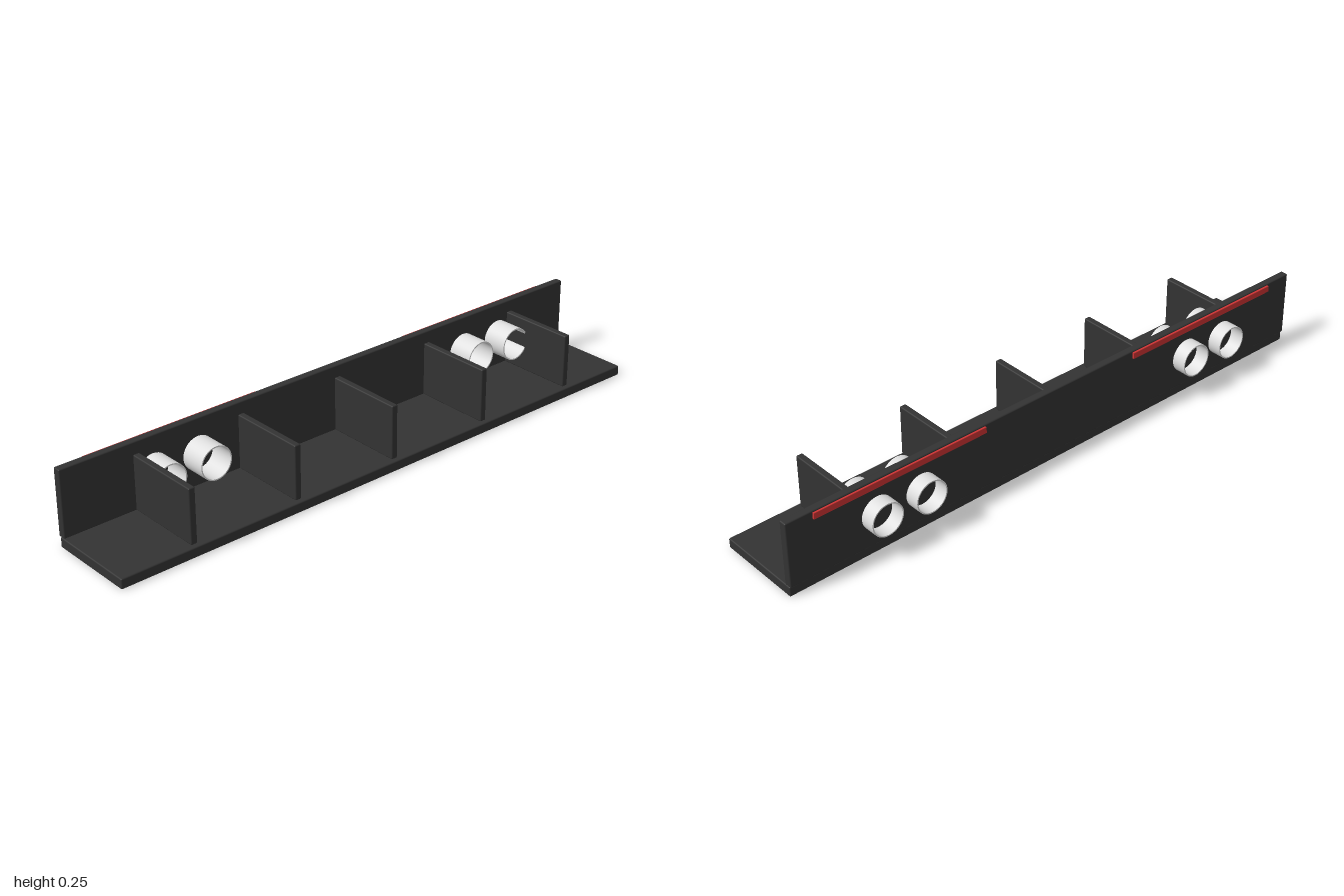
import * as THREE from 'three';
import { RoundedBoxGeometry } from 'three/addons/geometries/RoundedBoxGeometry.js';

export function createModel() {
  const model = new THREE.Group();
  model.name = 'dividedShelf';

  const material = (name, color) => {
    const m = new THREE.MeshStandardMaterial({ color });
    m.name = name;
    return m;
  };
  const charcoal = material('charcoal', 0x333333);
  const silver = material('silver', 0xe0e0e0);
  const red = material('red', 0xcc3333);

  const add = (name, geometry, mat, x, y, z) => {
    const mesh = new THREE.Mesh(geometry, mat);
    mesh.name = name;
    mesh.position.set(x, y, z);
    model.add(mesh);
    return mesh;
  };

  // Softly rounded panel given by its limits in x and y, its z centre and its length
  const panel = (name, x0, x1, y0, y1, z, length) =>
    add(name, new RoundedBoxGeometry(x1 - x0, y1 - y0, length, 2, 0.004), charcoal,
      (x0 + x1) / 2, (y0 + y1) / 2, z);

  panel('basePanel', -0.121, 0.173, 0.001, 0.034, 0, 2);
  panel('backPanel', -0.127, -0.101, 0.035, 0.254, 0, 2);

  // Five evenly spaced dividers
  for (let i = -2; i <= 2; i++) {
    panel('divider', -0.104, 0.159, 0.035, 0.214, -0.003 + i * 0.374, 0.022);
  }

  // Thin-walled open tubes passing through the back panel
  const R = 0.055, r = 0.051, half = 0.08;
  const tube = new THREE.LatheGeometry(
    [[r, -half], [R, -half], [R, half], [r, half], [r, -half]].map(([x, y]) => new THREE.Vector2(x, y)), 48);
  // Separate the rim normals from the walls by using a flat outline per segment
  const sections = [[[R, -half], [R, half]], [[R, half], [r, half]], [[r, half], [r, -half]], [[r, -half], [R, -half]]];
  tube.dispose();
  for (const z of [-0.695, -0.538, 0.53, 0.69]) {
    const group = new THREE.Group();
    group.name = 'openTube';
    for (const pts of sections) {
      const part = new THREE.Mesh(
        new THREE.LatheGeometry(pts.map(([x, y]) => new THREE.Vector2(x, y)), 48), silver);
      part.name = 'tubeSurface';
      group.add(part);
    }
    group.rotation.z = Math.PI / 2;
    group.position.set(-0.095, 0.141, z);
    model.add(group);
  }

  // Red light strips on the outer face
  for (const z of [-0.605, 0.597]) {
    add('lightStrip', new THREE.BoxGeometry(0.009, 0.02, 0.61), red, -0.1295, 0.239, z);
  }

  return model;
}
